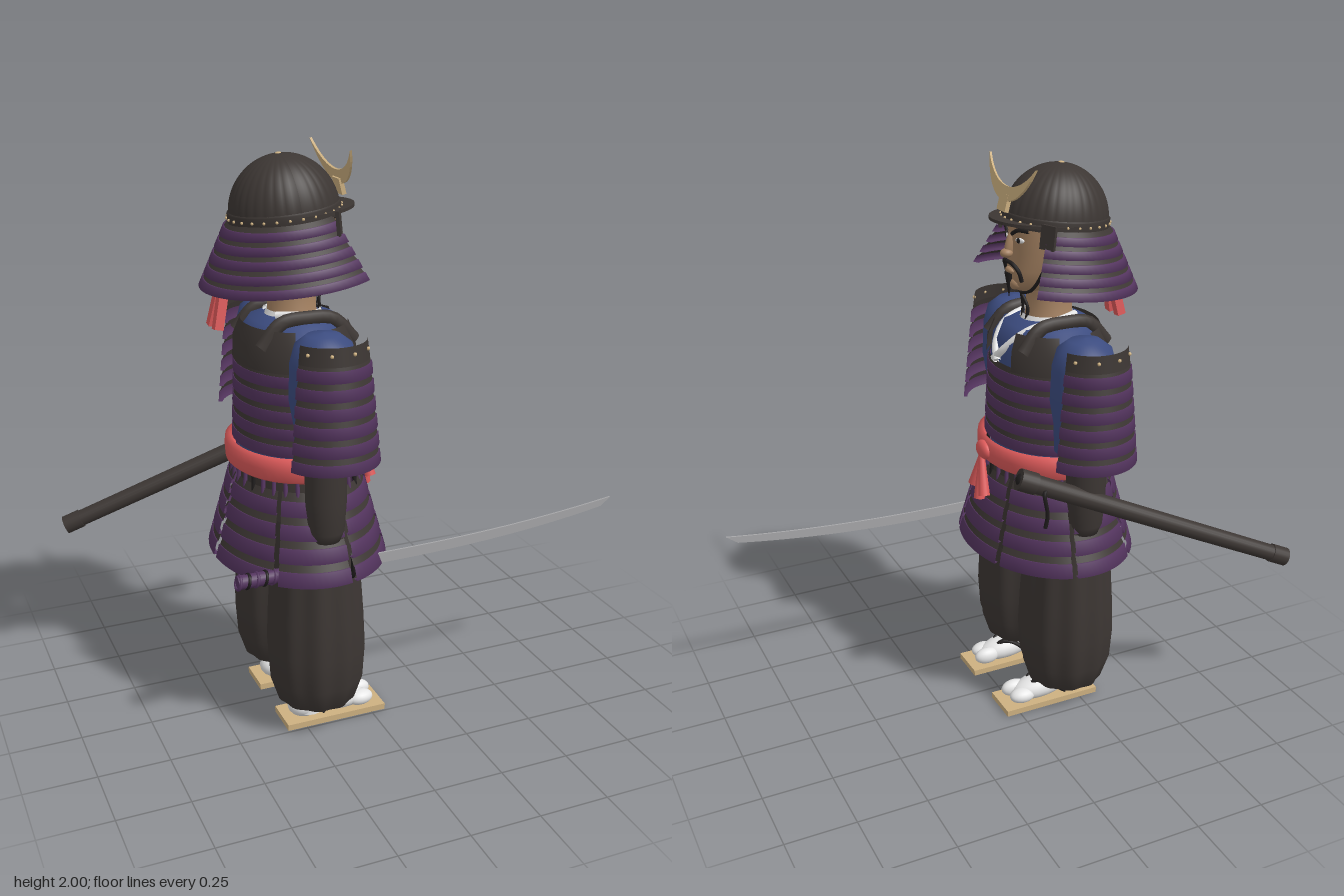
import * as THREE from 'three';

const paint = (name, color) => new THREE.MeshStandardMaterial({ name, color, side: THREE.DoubleSide });
const dark = paint('charcoal lacquer', 0x3c3633), black = paint('black cord', 0x1f1c1c);
const purple = paint('purple lacing', 0x553560), red = paint('red silk', 0xdc5a5a);
const blue = paint('blue cloth', 0x3c4c80), skin = paint('skin', 0xa58262);
const white = paint('white cotton', 0xe6e6e6), gold = paint('pale gold', 0xcdb080);
const steel = paint('steel', 0xa6a6a8);

const V = (x, y, z) => new THREE.Vector3(x, y, z);

function add(parent, name, geo, mat, pos = [0, 0, 0], rot = [0, 0, 0], scale = [1, 1, 1]) {
  const m = new THREE.Mesh(geo, mat);
  m.name = name;
  m.position.set(...pos);
  m.rotation.set(...rot);
  m.scale.set(...scale);
  parent.add(m);
  return m;
}
const ball = (p, name, mat, pos, size, rot) => add(p, name, new THREE.SphereGeometry(1, 20, 14), mat, pos, rot, size);
const box = (p, name, mat, pos, size, rot) => add(p, name, new THREE.BoxGeometry(...size), mat, pos, rot);
const tube = (p, name, mat, pts, r) =>
  add(p, name, new THREE.TubeGeometry(new THREE.CatmullRomCurve3(pts.map(a => V(...a))), 16, r, 8), mat);

// Elliptical lathe; profile points run upwards, angle 0 faces the front
function lathe(pts, sx = 1, sz = 1, from = 0, len = Math.PI * 2, seg = 48) {
  return new THREE.LatheGeometry(pts.map(p => new THREE.Vector2(...p)), seg, from, len).scale(sx, 1, sz);
}

// Straight rod between two points
function rod(p, name, mat, a, b, r0, r1 = r0) {
  const A = V(...a), B = V(...b), d = B.clone().sub(A);
  const m = add(p, name, new THREE.CylinderGeometry(r1, r0, d.length(), 20), mat, A.clone().add(B).multiplyScalar(0.5).toArray());
  m.quaternion.setFromUnitVectors(V(0, 1, 0), d.normalize());
  return m;
}

// Overlapping armour plates: a dark upper strip and a wider laced strip per row
function lames(parent, name, o) {
  const g = new THREE.Group();
  g.name = name;
  parent.add(g);
  const { n, top, bottom, r0, r1, from = 0, len = Math.PI * 2, sx = 1, sz = 1, seg = 48, step = 0.015 } = o;
  for (let i = 0; i < n; i++) {
    const at = t => [r0 + (r1 - r0) * t, top + (bottom - top) * t];
    const [ra, ya] = at(i / n), [rb, yb] = at((i + 0.36) / n), [rc, yc] = at((i + 1) / n);
    add(g, name + 'Edge', lathe([[rb, yb], [ra - step * 0.4, ya]], sx, sz, from, len, seg), dark);
    add(g, name + 'Lacing', lathe([[rc - step, yc], [rc + step * 0.4, yc], [rb + step * 0.4, yb], [rb, yb]], sx, sz, from, len, seg), purple);
  }
  return g;
}

function buildHead(b) {
  // Skull and jaw, the lower part pushed forward
  const head = lathe([[0, 1.56], [0.045, 1.565], [0.072, 1.59], [0.098, 1.64], [0.117, 1.70], [0.122, 1.77], [0.122, 1.84]], 1, 1.18);
  const p = head.attributes.position;
  for (let i = 0; i < p.count; i++) p.setZ(i, p.getZ(i) + Math.max(0, 1.7 - p.getY(i)) * 0.5);
  head.computeVertexNormals();
  add(b, 'head', head, skin);
  add(b, 'neck', lathe([[0.1, 1.42], [0.078, 1.47], [0.075, 1.55], [0.085, 1.68]], 1, 1.05), skin, [0, 0, -0.005]);
  add(b, 'headband', lathe([[0.126, 1.795], [0.127, 1.83]], 1, 1.18), red);
  ball(b, 'noseBridge', skin, [0, 1.725, 0.143], [0.014, 0.05, 0.018], [-0.25, 0, 0]);
  ball(b, 'noseTip', skin, [0, 1.695, 0.157], [0.021, 0.016, 0.022]);
  ball(b, 'lips', skin, [0, 1.635, 0.143], [0.026, 0.012, 0.014]);
  ball(b, 'chin', skin, [0, 1.59, 0.125], [0.034, 0.024, 0.024]);
  for (const s of [-1, 1]) {
    ball(b, 'eye', white, [s * 0.048, 1.745, 0.131], [0.019, 0.009, 0.006], [0, s * 0.4, 0]);
    ball(b, 'pupil', black, [s * 0.047, 1.745, 0.136], [0.008, 0.009, 0.004], [0, s * 0.4, 0]);
    tube(b, 'eyebrow', black, [[s * 0.018, 1.763, 0.146], [s * 0.045, 1.779, 0.137], [s * 0.08, 1.779, 0.113]], 0.007);
    tube(b, 'moustache', black, [[0, 1.668, 0.156], [s * 0.03, 1.664, 0.15], [s * 0.05, 1.64, 0.136], [s * 0.053, 1.605, 0.125]], 0.007);
    ball(b, 'ear', skin, [s * 0.122, 1.72, -0.005], [0.012, 0.035, 0.022]);
    tube(b, 'chinCord', black, [[s * 0.13, 1.79, 0.05], [s * 0.11, 1.66, 0.07], [s * 0.06, 1.575, 0.09], [0, 1.55, 0.1]], 0.006);
    tube(b, 'cordTail', black, [[0, 1.55, 0.1], [s * 0.018, 1.5, 0.085], [s * 0.014, 1.45, 0.09]], 0.006);
  }
  add(b, 'goatee', new THREE.ConeGeometry(0.016, 0.09, 12), black, [0, 1.585, 0.147], [Math.PI, 0, 0]);
}

function buildHelmet(b) {
  const h = new THREE.Group();
  h.name = 'helmet';
  h.position.set(0, 1.79, -0.025);
  h.rotation.x = -0.1;
  b.add(h);
  // Ribbed bowl
  const dome = new THREE.SphereGeometry(1, 96, 24, 0, Math.PI * 2, 0, Math.PI / 2);
  const p = dome.attributes.position;
  for (let i = 0; i < p.count; i++) {
    const k = 1 + 0.012 * Math.cos(32 * Math.atan2(p.getZ(i), p.getX(i)));
    p.setXYZ(i, p.getX(i) * 0.165 * k, p.getY(i) * 0.19, p.getZ(i) * 0.182 * k);
  }
  dome.computeVertexNormals();
  add(h, 'helmetBowl', dome, dark);
  add(h, 'helmetRim', lathe([[1.0, -0.015], [1.03, -0.015], [1.03, 0.02], [1, 0.025]], 0.165, 0.182), dark);
  ball(h, 'topStud', gold, [0, 0.19, 0], [0.01, 0.004, 0.01]);
  for (let i = 0; i < 28; i++) {
    const a = i / 28 * Math.PI * 2;
    add(h, 'rimRivet', new THREE.SphereGeometry(0.005, 8, 6), gold, [Math.sin(a) * 0.171, 0.006, Math.cos(a) * 0.189]);
  }
  // Crescent visor
  const v = new THREE.Shape();
  v.absellipse(0, 0, 0.172, 0.235, 0, Math.PI, false);
  v.absellipse(0, 0, 0.155, 0.168, Math.PI, 0, true);
  add(h, 'visor', new THREE.ExtrudeGeometry(v, { depth: 0.01, bevelEnabled: false, curveSegments: 24 }).rotateX(Math.PI / 2), dark, [0, 0.012, 0], [0.04, 0, 0]);
  // Flared neck guard and its turned-back flaps
  lames(h, 'neckGuard', { n: 5, top: -0.005, bottom: -0.205, r0: 0.19, r1: 0.3, from: 0.97, len: Math.PI * 2 - 1.94, sx: 0.98 });
  for (const s of [-1, 1]) box(h, 'turnedFlap', dark, [s * 0.175, -0.022, 0.115], [0.055, 0.08, 0.012], [0, s * 0.5, 0]);
  // Crescent crest
  const c = new THREE.Shape();
  c.moveTo(-0.17, 0.145);
  c.bezierCurveTo(-0.1, -0.03, 0.1, -0.03, 0.17, 0.145);
  c.bezierCurveTo(0.08, 0.035, -0.08, 0.035, -0.17, 0.145);
  add(b, 'crescentCrest', new THREE.ExtrudeGeometry(c, { depth: 0.008, bevelEnabled: false, curveSegments: 24 }), gold, [0, 1.857, 0.166], [-0.25, 0, 0]);
  box(b, 'crestHolder', gold, [0, 1.865, 0.165], [0.06, 0.055, 0.015], [-0.25, 0, 0]);
  // Silk bow hanging behind
  for (const s of [-1, 1]) {
    box(b, 'bowRibbon', red, [s * 0.022, 1.51, -0.255], [0.032, 0.16, 0.03], [0.22, 0, s * 0.12]);
    ball(b, 'bowLoop', red, [s * 0.03, 1.585, -0.235], [0.032, 0.016, 0.016], [0, 0, s * 0.3]);
  }
}

function buildTorso(b) {
  add(b, 'robe', lathe([[0.22, 0.95], [0.225, 1.3], [0.215, 1.39], [0.17, 1.445], [0.09, 1.465]], 1, 0.84), blue);
  lames(b, 'cuirass', { n: 5, top: 1.32, bottom: 1.03, r0: 0.236, r1: 0.25, sz: 0.83, step: 0.01 });
  // Upper cuirass: back plate and two chest plates
  const upper = [[0.238, 1.31], [0.234, 1.38], [0.205, 1.44]];
  add(b, 'backPlate', lathe(upper, 1, 0.85, 1.95, Math.PI * 2 - 3.9), dark);
  for (const s of [-1, 1]) {
    add(b, 'chestPlate', lathe(upper, 1, 0.86, s > 0 ? 0.42 : -1.25, 0.83, 16), dark);
    tube(b, 'shoulderStrap', dark, [[s * 0.135, 1.38, 0.16], [s * 0.125, 1.455, 0.09], [s * 0.125, 1.465, 0], [s * 0.125, 1.455, -0.09], [s * 0.13, 1.38, -0.16]], 0.025);
    tube(b, 'whiteLapel', white, [[s * 0.05, 1.465, -0.08], [s * 0.09, 1.465, 0], [s * 0.075, 1.435, 0.12], [s * 0.035, 1.375, 0.178], [-s * 0.012, 1.325, 0.198]], 0.014);
  }
  add(b, 'innerCollar', lathe([[0.1, 1.44], [0.085, 1.475]], 1, 1.05), white);
  // Sash with knot and tails
  add(b, 'sash', lathe([[0.95, 0.945], [1, 0.955], [1.01, 0.99], [1, 1.02], [0.93, 1.03]], 0.277, 0.235), red);
  ball(b, 'sashKnot', red, [-0.015, 0.988, 0.238], [0.045, 0.034, 0.022]);
  for (const [x, y] of [[-0.045, 0.85], [0.0, 0.81], [0.04, 0.835]])
    rod(b, 'sashTail', red, [x, y, 0.262], [-0.015, 0.97, 0.245], 0.021, 0.01);
  // Lacing cords between sash and skirt
  for (let i = 0; i < 35; i++) {
    const a = i / 35 * Math.PI * 2, x = Math.sin(a), z = Math.cos(a);
    rod(b, 'skirtCord', i % 5 ? purple : black, [x * 0.272, 0.885, z * 0.216], [x * 0.258, 0.96, z * 0.21], 0.007);
  }
  add(b, 'hips', lathe([[0.24, 0.6], [0.24, 0.85], [0.225, 0.96]], 1, 0.78), dark);
  // Seven skirt panels
  const span = Math.PI * 2 / 7;
  for (let i = 0; i < 7; i++)
    lames(b, 'skirtPanel', { n: 4, top: 0.915, bottom: 0.62, r0: 0.275, r1: 0.375, from: (i - 0.5) * span + 0.03, len: span - 0.06, sz: 0.79, seg: 12 });
}

function buildLimbs(b) {
  for (const s of [-1, 1]) {
    // Arm and shoulder guard
    add(b, 'sleeve', lathe([[0, 1.03], [0.06, 1.032], [0.088, 1.06], [0.09, 1.15], [0.104, 1.24], [0.1, 1.36], [0.085, 1.42], [0.05, 1.45], [0, 1.457]], 1, 1.1), blue, [s * 0.268, 0, 0]);
    add(b, 'gauntlet', lathe([[0, 0.745], [0.045, 0.755], [0.058, 0.79], [0.066, 0.9], [0.066, 1.05]], 1, 1.05), dark, [s * 0.295, 0, -0.005]);
    ball(b, 'hand', skin, [s * 0.28, 0.69, 0.005], [0.036, 0.075, 0.055]);
    for (let i = 0; i < 4; i++)
      ball(b, 'finger', skin, [s * 0.272, 0.65, -0.03 + i * 0.024], [0.032, 0.032, 0.013]);
    const guard = new THREE.Group();
    guard.name = 'shoulderGuard';
    guard.position.set(s * 0.31, 0, 0);
    guard.rotation.y = s * Math.PI / 2;
    b.add(guard);
    lames(guard, 'shoulderPlate', { n: 6, top: 1.4, bottom: 1.045, r0: 0.13, r1: 0.163, from: -1.18, len: 2.36, seg: 20, step: 0.01 });
    add(guard, 'shoulderTopPlate', lathe([[0.13, 1.39], [0.122, 1.45]], 1, 1, -1.18, 2.36, 20), dark);
    for (const a of [-0.9, -0.3, 0.3, 0.9]) ball(guard, 'shoulderRivet', gold, [Math.sin(a) * 0.128, 1.425, Math.cos(a) * 0.128], [0.006, 0.006, 0.006]);
    // Pleated trouser leg
    const leg = lathe([[0, 0.09], [0.1, 0.09], [0.14, 0.115], [0.168, 0.2], [0.176, 0.32], [0.17, 0.45], [0.155, 0.66], [0.14, 0.8]], 1, 1, 0, Math.PI * 2, 80);
    const p = leg.attributes.position;
    for (let i = 0; i < p.count; i++) {
      const k = 1 + 0.028 * Math.cos(10 * Math.atan2(p.getX(i), p.getZ(i)));
      p.setX(i, p.getX(i) * k);
      p.setZ(i, p.getZ(i) * k * 0.96);
    }
    leg.computeVertexNormals();
    add(b, 'trouserLeg', leg, dark, [s * 0.178, 0, 0]);
    // Split-toe sock and sandal
    const x = s * 0.148;
    box(b, 'sandal', gold, [x, 0.011, 0.066], [0.138, 0.022, 0.372]);
    add(b, 'ankle', new THREE.CylinderGeometry(0.05, 0.056, 0.13, 20), white, [x, 0.1, -0.02]);
    ball(b, 'heel', white, [x, 0.055, -0.035], [0.054, 0.045, 0.06]);
    ball(b, 'foot', white, [x, 0.058, 0.08], [0.056, 0.045, 0.12], [0.12, 0, 0]);
    ball(b, 'bigToe', white, [x - s * 0.028, 0.05, 0.18], [0.028, 0.032, 0.05]);
    ball(b, 'smallToes', white, [x + s * 0.025, 0.046, 0.17], [0.034, 0.028, 0.05]);
    for (const t of [-1, 1])
      tube(b, 'sandalThong', black, [[x - s * 0.004, 0.05, 0.165], [x + t * 0.03, 0.096, 0.1], [x + t * 0.064, 0.045, 0.01]], 0.009);
  }
}

function buildSwords(b) {
  // Drawn sword
  const x = -0.272, y = 0.643;
  rod(b, 'swordGrip', purple, [x, y, -0.31], [x, y, 0.08], 0.024);
  for (let i = 0; i < 13; i++) add(b, 'gripWrap', new THREE.TorusGeometry(0.023, 0.006, 6, 16), i % 2 ? black : purple, [x, y, -0.305 + i * 0.03], [0.25, 0, 0]);
  add(b, 'swordGuard', new THREE.CylinderGeometry(0.055, 0.055, 0.01, 28), black, [x, y, 0.085], [Math.PI / 2, 0, 0]);
  const s = new THREE.Shape();
  s.moveTo(0.09, -0.02);
  s.quadraticCurveTo(0.65, -0.03, 1.08, 0.042);
  s.lineTo(1.12, 0.072);
  s.quadraticCurveTo(0.65, 0.008, 0.09, 0.017);
  const blade = new THREE.ExtrudeGeometry(s, { depth: 0.007, bevelEnabled: false, curveSegments: 20 }).rotateY(-Math.PI / 2);
  add(b, 'swordBlade', blade, steel, [x + 0.0035, y, 0]);
  // Scabbard through the sash
  const A = V(0.512, 0.6, -0.7), B = V(0.292, 1.0, 0.24), at = t => A.clone().lerp(B, t).toArray();
  rod(b, 'scabbard', dark, at(0), at(1), 0.029, 0.033);
  rod(b, 'scabbardTip', dark, at(-0.015), at(0.045), 0.033);
  rod(b, 'scabbardMouth', dark, at(0.95), at(1.01), 0.038);
  add(b, 'scabbardOpening', new THREE.SphereGeometry(0.026, 12, 8), black, at(0.995));
  tube(b, 'scabbardCord', black, [at(0.9), [0.345, 0.96, 0.18], [0.35, 0.88, 0.17], [0.345, 0.83, 0.175]], 0.007);
}

export function createModel() {
  const model = new THREE.Group(), body = new THREE.Group();
  model.name = 'armouredWarrior';
  body.name = 'figure';
  for (const build of [buildHead, buildHelmet, buildTorso, buildLimbs, buildSwords]) build(body);
  // The figure looks along +x
  body.rotation.y = Math.PI / 2;
  body.position.set(-0.2, 0, 0.025);
  model.add(body);
  return model;
}
